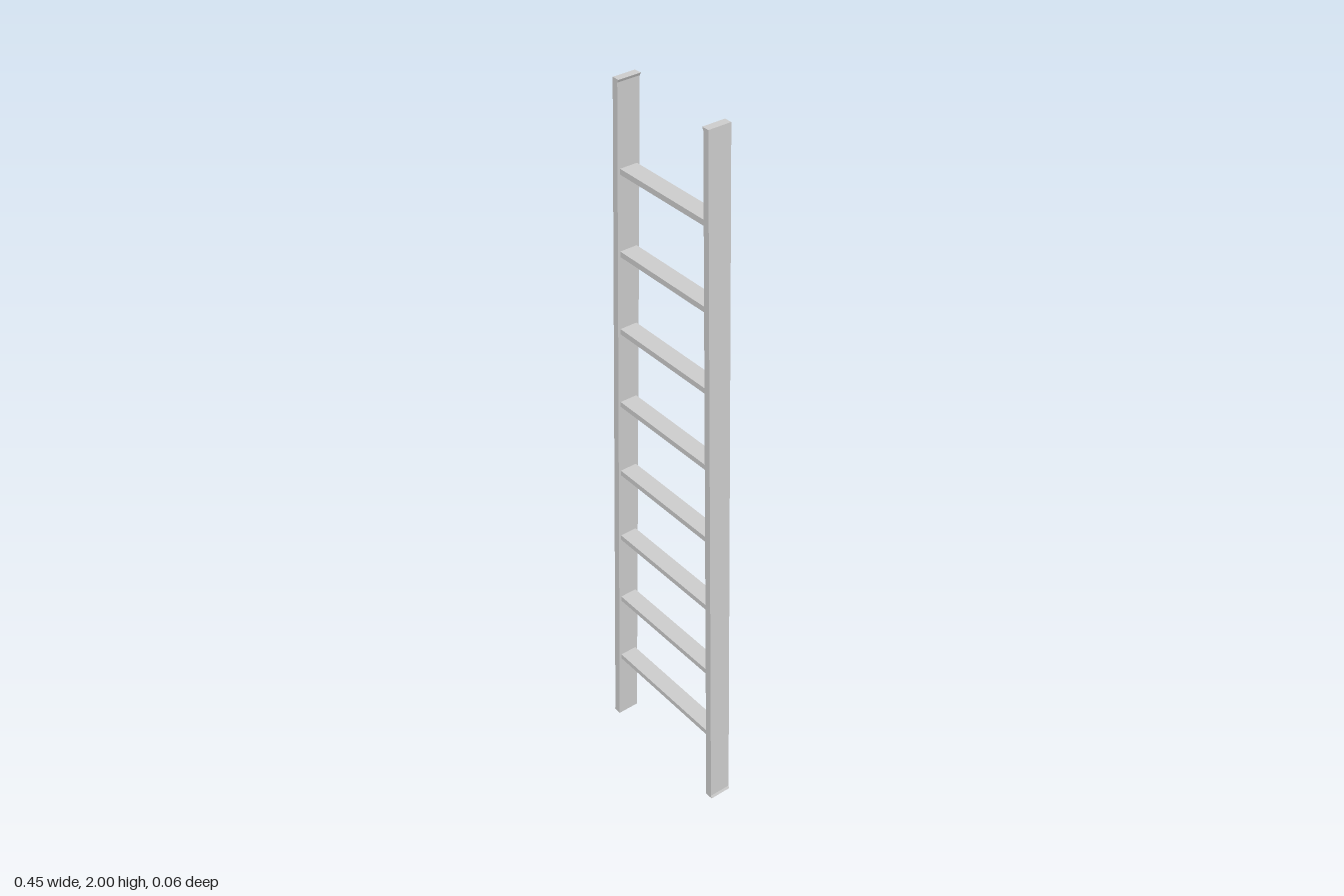
import * as THREE from 'three';

const H = 2, RAIL_DEPTH = 0.063, RUNG_DEPTH = 0.049, RUNG_THICK = 0.015;
const RUNGS = 8, FIRST_Y = 0.224, STEP = 0.2205;

// inner face of the rail at height y (rails lean together towards the top)
const innerX = (y) => THREE.MathUtils.lerp(0.2, 0.152, y / H);
const outerX = (y) => THREE.MathUtils.lerp(0.221, 0.169, y / H);

// side rail: tapered profile with a tiny outward toe and inward top lip
function makeRail(side, material) {
  const lip = 0.008;
  const points = [
    [innerX(0), 0], [0.224, 0], [outerX(lip), lip],
    [outerX(H), H], [0.148, H], [innerX(H - lip), H - lip],
  ].map(([x, y]) => new THREE.Vector2(side * x, y));
  const geometry = new THREE.ExtrudeGeometry(new THREE.Shape(points), {
    depth: RAIL_DEPTH, bevelEnabled: false,
  });
  geometry.translate(0, 0, -RAIL_DEPTH / 2);
  return new THREE.Mesh(geometry, material);
}

export function createModel() {
  const ladder = new THREE.Group();
  ladder.name = 'ladder';
  const material = new THREE.MeshStandardMaterial({ color: 0xcccccc, flatShading: true });

  // side rails
  for (const side of [1, -1]) {
    const rail = makeRail(side, material);
    rail.name = side > 0 ? 'leftRail' : 'rightRail';
    ladder.add(rail);
  }

  // flat rungs, shorter towards the top
  for (let i = 0; i < RUNGS; i++) {
    const y = FIRST_Y + i * STEP;
    const width = 2 * innerX(y) + 0.004;
    const rung = new THREE.Mesh(new THREE.BoxGeometry(width, RUNG_THICK, RUNG_DEPTH), material);
    rung.position.y = y;
    rung.name = `rung${i + 1}`;
    ladder.add(rung);
  }
  return ladder;
}
